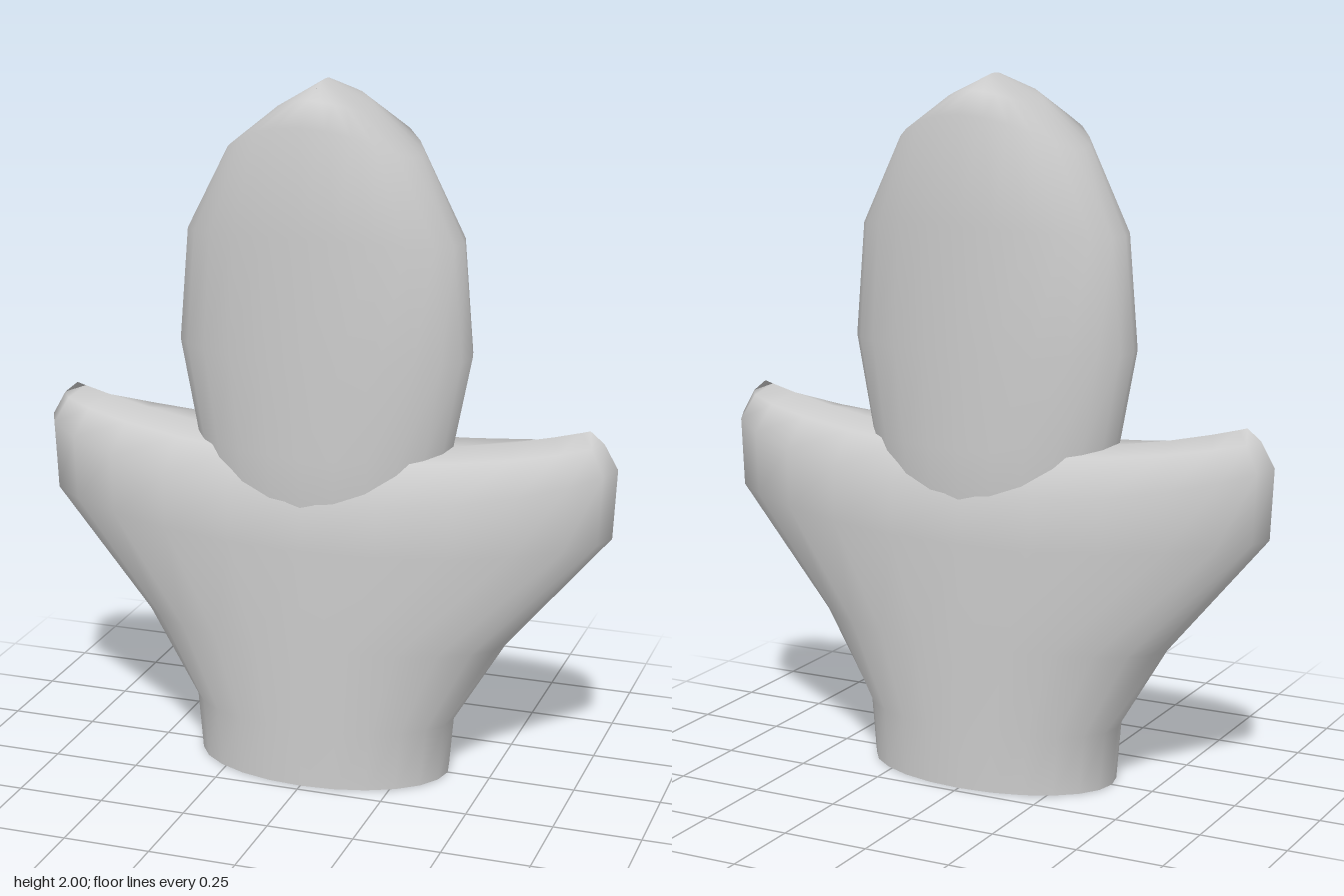
import * as THREE from 'three';
import { mergeVertices } from 'three/addons/utils/BufferGeometryUtils.js';

const SIDES = 24;

// Skins stacked ellipses [y at the sides, half width, half depth, rise towards the middle].
function loft(rings) {
  const position = [], index = [];
  for (const [y, w, d, rise = 0] of rings) {
    for (let j = 0; j < SIDES; j++) {
      const t = (j / SIDES) * Math.PI * 2;
      position.push(w * Math.cos(t), y + rise * Math.sin(t) ** 2, d * Math.sin(t));
    }
  }
  for (let i = 0; i < rings.length - 1; i++) {
    for (let j = 0; j < SIDES; j++) {
      const k = (j + 1) % SIDES;
      const a = i * SIDES + j, b = i * SIDES + k;
      index.push(a, a + SIDES, b, b, a + SIDES, b + SIDES);
    }
  }
  const geometry = new THREE.BufferGeometry();
  geometry.setAttribute('position', new THREE.Float32BufferAttribute(position, 3));
  geometry.setIndex(index);
  const merged = mergeVertices(geometry, 1e-4);
  merged.computeVertexNormals();
  return merged;
}

export function createModel() {
  const group = new THREE.Group();
  const material = new THREE.MeshStandardMaterial({ color: 0xcccccc });
  const add = (name, geometry) => {
    const mesh = new THREE.Mesh(geometry, material);
    mesh.name = name;
    group.add(mesh);
  };

  // Flaring body whose upper corners form the two side lobes
  add('bodyWithSideLobes', loft([
    [0, 0.375, 0.225],
    [0.17, 0.39, 0.225],
    [0.42, 0.54, 0.225],
    [0.77, 0.835, 0.225, -0.06],
    [0.97, 0.845, 0.22, -0.12],
    [1.04, 0.805, 0.15, -0.08],
    [1.073, 0.765, 0, -0.11],
  ]));

  // Tall middle lobe, rooted inside the body
  add('centralLobe', loft([
    [0.7, 0.33, 0.2],
    [0.85, 0.355, 0.222],
    [0.98, 0.375, 0.225],
    [1.25, 0.428, 0.225],
    [1.57, 0.4, 0.225, 0.03],
    [1.8, 0.275, 0.218, 0.1],
    [1.92, 0.13, 0.14, 0.04],
    [2, 0, 0.04, -0.005],
  ]));

  // Flat underside
  add('base', new THREE.CircleGeometry(1, SIDES).rotateX(Math.PI / 2).scale(0.375, 1, 0.225));

  return group;
}
